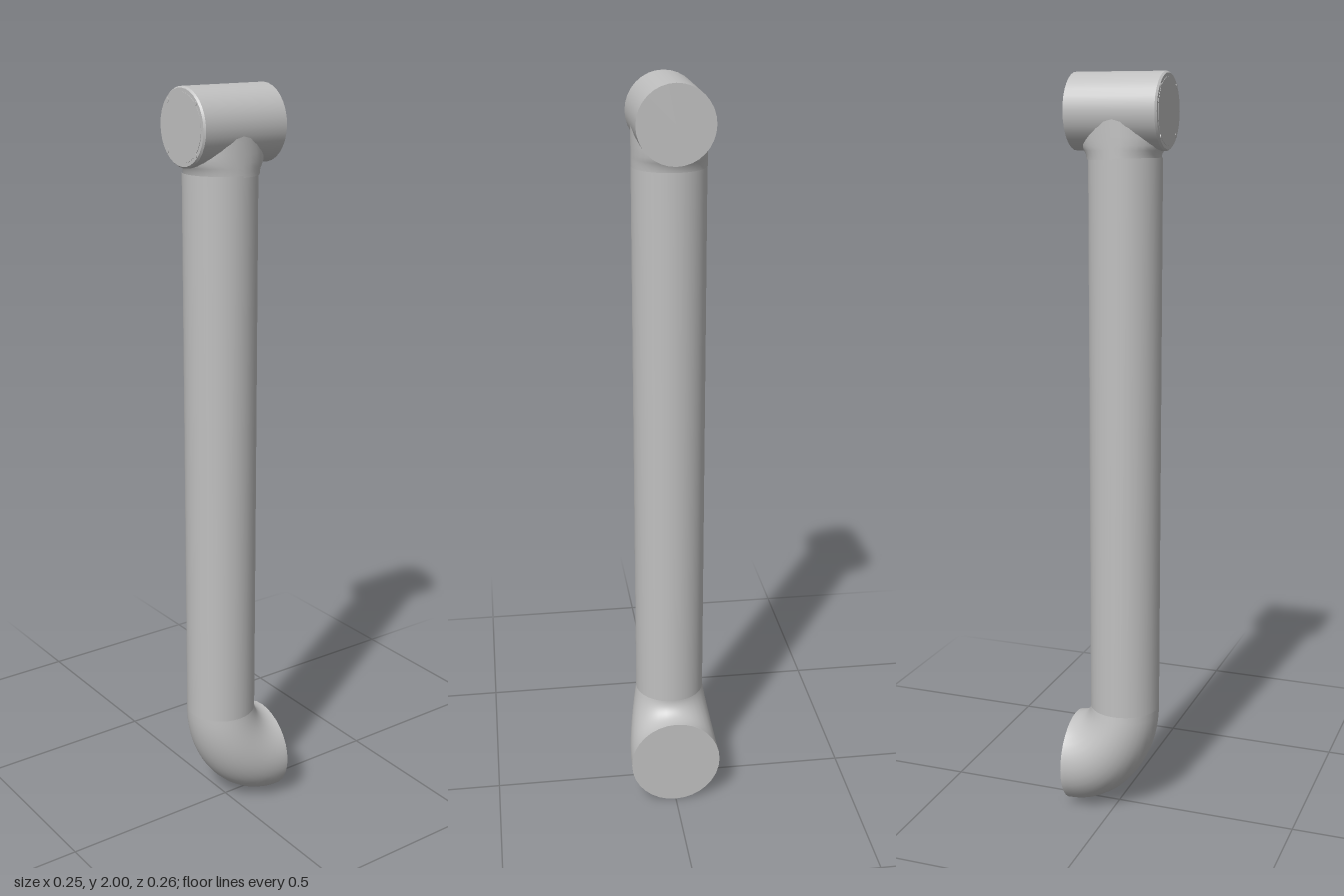
import * as THREE from 'three';

const SIDES = 32;
const TUBE_R = 0.095;
const TUBE_Z = 0.016;

// Skins a list of elliptical rings, each { c, u, v }: centre and two half-axes, with u x v along the path
function loft(rings) {
  const pos = [], index = [];
  for (const { c, u, v } of rings) {
    for (let j = 0; j < SIDES; j++) {
      const a = (j / SIDES) * Math.PI * 2;
      const p = c.clone().addScaledVector(u, Math.cos(a)).addScaledVector(v, Math.sin(a));
      pos.push(p.x, p.y, p.z);
    }
  }
  for (let i = 0; i < rings.length - 1; i++) {
    for (let j = 0; j < SIDES; j++) {
      const a = i * SIDES + j, b = i * SIDES + ((j + 1) % SIDES);
      index.push(a, b, a + SIDES, b, b + SIDES, a + SIDES);
    }
  }
  const geo = new THREE.BufferGeometry();
  geo.setAttribute('position', new THREE.Float32BufferAttribute(pos, 3));
  geo.setIndex(index);
  geo.computeVertexNormals();
  return geo;
}

export function createModel() {
  const group = new THREE.Group();
  const grey = new THREE.MeshStandardMaterial({ color: 0xc0c0c0 });
  grey.name = 'light grey';

  const add = (name, geo, x = 0, y = 0, z = 0) => {
    const mesh = new THREE.Mesh(geo, grey);
    mesh.name = name;
    mesh.position.set(x, y, z);
    group.add(mesh);
    return mesh;
  };

  // Long straight tube
  add('armTube', new THREE.CylinderGeometry(TUBE_R, TUBE_R, 1.49, SIDES, 1, true), 0, 1.045, TUBE_Z);

  // Elbow: widens as it turns from the tube to the back opening
  const elbow = [];
  const steps = 20;
  for (let i = 0; i <= steps; i++) {
    const t = (i / steps) * Math.PI / 2;
    const outer = new THREE.Vector3(0, 0.3 - 0.295 * Math.sin(t), -0.13 + 0.241 * Math.cos(t));
    const inner = new THREE.Vector3(0, 0.3 - 0.045 * Math.sin(t), -0.13 + 0.051 * Math.cos(t));
    elbow.push({
      c: outer.clone().add(inner).multiplyScalar(0.5),
      u: new THREE.Vector3(TUBE_R + 0.03 * Math.sin(t), 0, 0),
      v: outer.clone().sub(inner).multiplyScalar(0.5),
    });
  }
  add('elbow', loft(elbow));
  add('elbowFlange', new THREE.CircleGeometry(0.125, SIDES), 0, 0.13, -0.13).rotation.y = Math.PI;

  // Neck: flares front and back into the joint housing
  const neck = [[1.9, 0.112], [1.84, 0.112], [1.82, 0.109], [1.808, 0.103], [1.798, 0.097], [1.785, TUBE_R]];
  add('neck', loft(neck.map(([y, rz]) => ({
    c: new THREE.Vector3(0, y, 0.012),
    u: new THREE.Vector3(TUBE_R, 0, 0),
    v: new THREE.Vector3(0, 0, rz),
  }))));

  // Joint housing with its axis front to back
  const housing = add('jointHousing',
    new THREE.CylinderGeometry(0.097, 0.097, 0.24, SIDES), 0, 1.903, 0.004);
  housing.rotation.x = Math.PI / 2;
  const rim = add('frontRim',
    new THREE.CylinderGeometry(0.093, 0.097, 0.005, SIDES), 0, 1.903, 0.1265);
  rim.rotation.x = Math.PI / 2;

  // Cover plate and its four screw heads
  const plate = add('coverPlate', new THREE.CylinderGeometry(0.084, 0.084, 0.002, SIDES), 0, 1.903, 0.129);
  plate.rotation.x = Math.PI / 2;
  for (let i = 0; i < 4; i++) {
    const a = Math.PI / 4 + i * Math.PI / 2;
    const screw = add('coverScrew', new THREE.CylinderGeometry(0.006, 0.006, 0.003, 10),
      0.085 * Math.cos(a), 1.903 + 0.085 * Math.sin(a), 0.1295);
    screw.rotation.x = Math.PI / 2;
  }

  return group;
}
